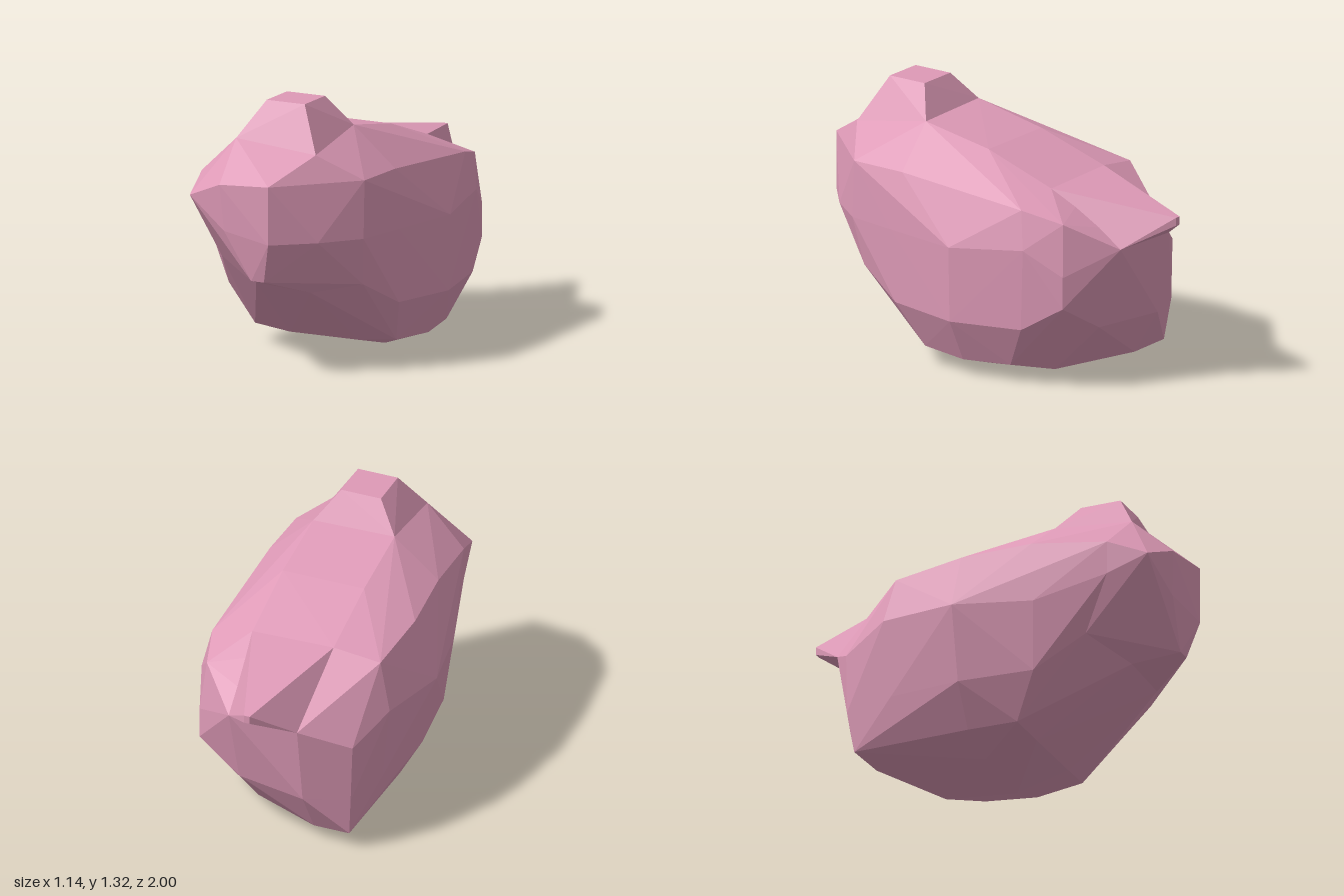
import * as THREE from 'three';
import { ConvexGeometry } from 'three/addons/geometries/ConvexGeometry.js';

// corners of the widest section: x, y, inset and lift towards both ends, forward tilt, reach along z
const SECTION = [
  [0.24, 1.1, 0, -0.03, 0.1, 1],
  [0.46, 0.94, 0, 0, 0.03, 0.95],
  [0.57, 0.68, 0.07, 0.02, -0.02, 1.05],
  [0.56, 0.3, 0.07, 0.01, 0, 1],
  [0.45, 0.08, 0.04, 0.01, 0, 0.68],
  [0.21, 0, 0, 0.05, 0.02, 0.72],
  [-0.17, 0.02, 0, 0.04, 0.01, 0.72],
  [-0.38, 0.09, 0.01, 0, 0, 0.68],
  [-0.5, 0.3, 0.05, 0.01, 0, 1],
  [-0.575, 0.68, 0.08, 0, -0.02, 1.05],
  [-0.46, 0.98, 0.03, -0.01, 0.03, 0.95],
  [-0.19, 1.1, 0, -0.02, 0.1, 1],
];

// t runs from -1 at the hips to 1 at the shoulders
function ring(t) {
  const end = Math.abs(t);
  return SECTION.map(([x, y, inset, lift, tilt, reach]) => [
    x - Math.sign(x) * inset * end,
    y + lift * end + tilt * t,
    -0.02 + 0.38 * t * reach,
  ]);
}

export function createModel() {
  const group = new THREE.Group();
  const pink = new THREE.MeshStandardMaterial({ color: 0xde9ab7, flatShading: true });
  pink.name = 'dusty pink';

  // each part is a faceted solid around its corner points
  function solid(name, points) {
    const mesh = new THREE.Mesh(new ConvexGeometry(points.map(p => new THREE.Vector3(...p))), pink);
    mesh.name = name;
    group.add(mesh);
  }

  // joints shared by neighbouring parts
  const brow = [[0.25, 1.1, 0.77], [-0.19, 1.14, 0.77]];
  const collar = [
    ...brow, [0.45, 0.97, 0.64], [0.45, 0.68, 0.65], [0.42, 0.44, 0.6], [0.2, 0.4, 0.73],
    [-0.1, 0.42, 0.73], [-0.36, 0.5, 0.6], [-0.28, 0.58, 0.72], [-0.4, 0.78, 0.73],
    [-0.4, 0.95, 0.73],
  ];
  const tailRoot = [[0.2, 0.72, -0.79], [-0.17, 0.72, -0.81]];
  const hips = ring(-1);
  const shoulders = ring(1);

  // broad body: lopsided rump, three full sections, then the chest
  const rump = [
    ...tailRoot, [0.2, 0.3, -0.66], [-0.17, 0.3, -0.74], [0.4, 0.86, -0.59],
    [0.43, 0.6, -0.61], [0.43, 0.44, -0.61], [0.21, 0.04, -0.4],
    [-0.17, 0.07, -0.6], [-0.37, 0.09, -0.63], [-0.39, 0.3, -0.66], [-0.4, 0.6, -0.66],
  ];
  const belly = [[0.21, 0.2, 0.44], [-0.2, 0.28, 0.5]];
  solid('body', [...rump, ...hips, ...ring(0), ...shoulders, ...belly, ...collar]);

  // blunt muzzle jutting forward from the chest
  solid('muzzle', [
    ...collar, [0.11, 0.97, 1], [0.11, 0.68, 1], [0.06, 0.48, 0.95], [-0.01, 0.48, 0.95],
    [-0.15, 0.72, 0.97], [-0.36, 0.87, 0.93], [-0.17, 0.95, 0.98], [0.3, 0.68, 0.84],
  ]);

  // tapered knob with a flat square top
  const crown = [-0.08, 0.13].flatMap(x => [0.45, 0.66].map(z => [x, 1.32, z]));
  solid('headKnob', [...crown, ...brow, shoulders[0], shoulders[11]]);

  // pointed tail with a narrow blunt tip
  const tip = [0, 0.03].flatMap(x => [0.84, 0.88].map(y => [x, y, -1]));
  solid('tail', [...tip, ...tailRoot, hips[0], hips[11]]);

  return group;
}
